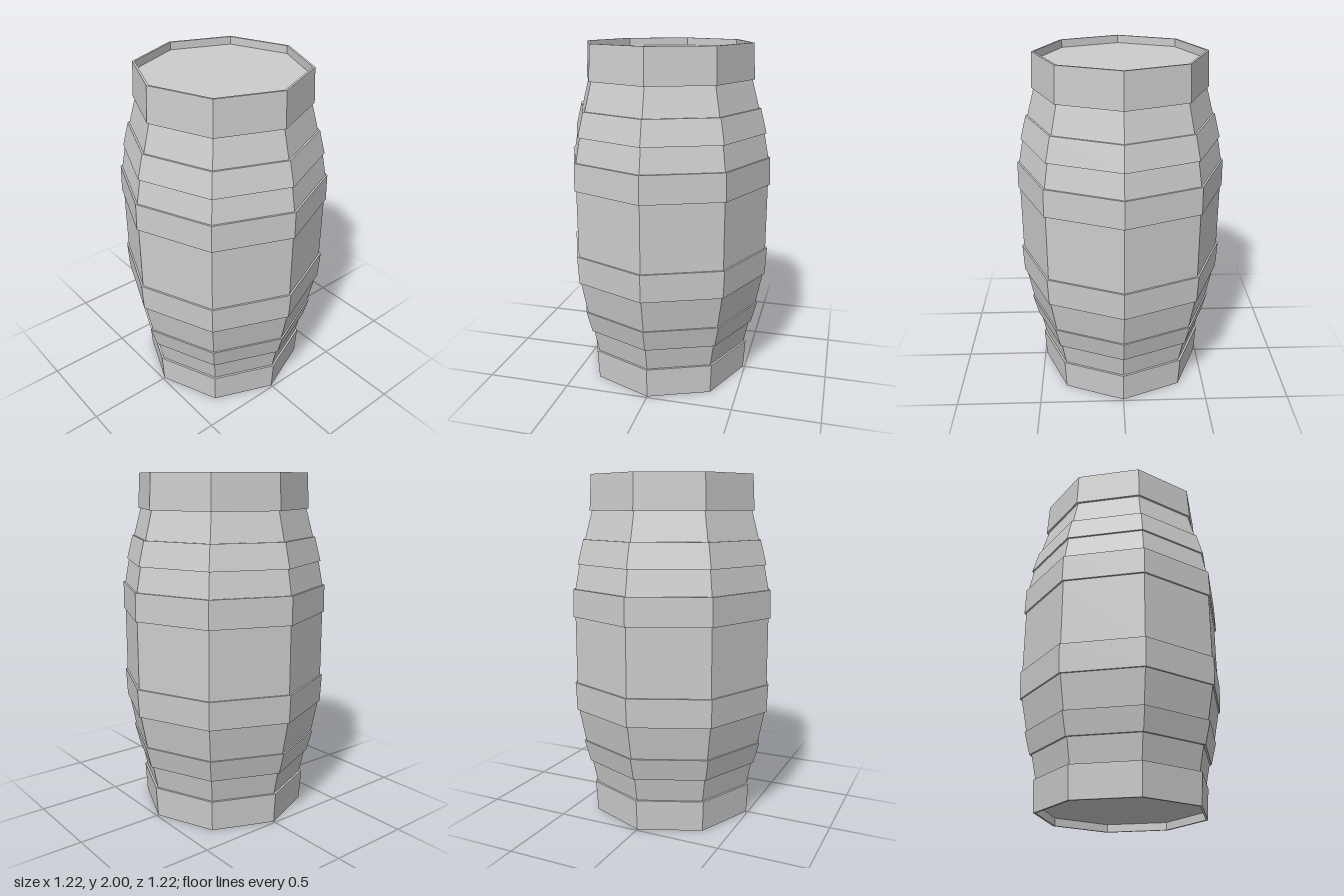
import * as THREE from 'three';

const SIDES = 8;

export function createModel() {
  const model = new THREE.Group();
  model.name = 'barrel';
  const material = new THREE.MeshStandardMaterial({ color: 0xcccccc, flatShading: true });

  // Revolve a bottom-to-top [radius, y] profile into an eight-sided part
  const turn = (name, profile) => {
    const points = profile.map(([r, y]) => new THREE.Vector2(r, y));
    const mesh = new THREE.Mesh(new THREE.LatheGeometry(points, SIDES), material);
    mesh.name = name;
    model.add(mesh);
  };

  // Bulging staves closed by the two recessed lids
  turn('staves', [
    [0, 0.045], [0.476, 0.045],
    [0.487, 0.18], [0.516, 0.32], [0.552, 0.45], [0.59, 0.645], [0.597, 0.81],
    [0.597, 1.2], [0.593, 1.36], [0.566, 1.5], [0.53, 1.64], [0.487, 1.8],
    [0.476, 1.955], [0, 1.955],
  ]);

  // Raised hoops: bottom y, bottom radius, top y, top radius
  const hoops = [
    ['lowerHoop', 0.32, 0.528, 0.45, 0.562],
    ['lowerBellyHoop', 0.645, 0.6, 0.81, 0.608],
    ['upperBellyHoop', 1.2, 0.608, 1.36, 0.604],
    ['upperHoop', 1.5, 0.577, 1.64, 0.541],
  ];
  const ledge = 0.014;
  for (const [name, y0, r0, y1, r1] of hoops) {
    turn(name, [[r0 - ledge, y0], [r0, y0], [r1, y1], [r1 - ledge, y1]]);
  }

  // End hoops wrap over the rim and down to the lids
  turn('bottomRimHoop', [[0.476, 0.045], [0.476, 0], [0.489, 0], [0.5, 0.18], [0.484, 0.18]]);
  turn('topRimHoop', [[0.484, 1.8], [0.5, 1.8], [0.489, 2], [0.476, 2], [0.476, 1.955]]);

  return model;
}
